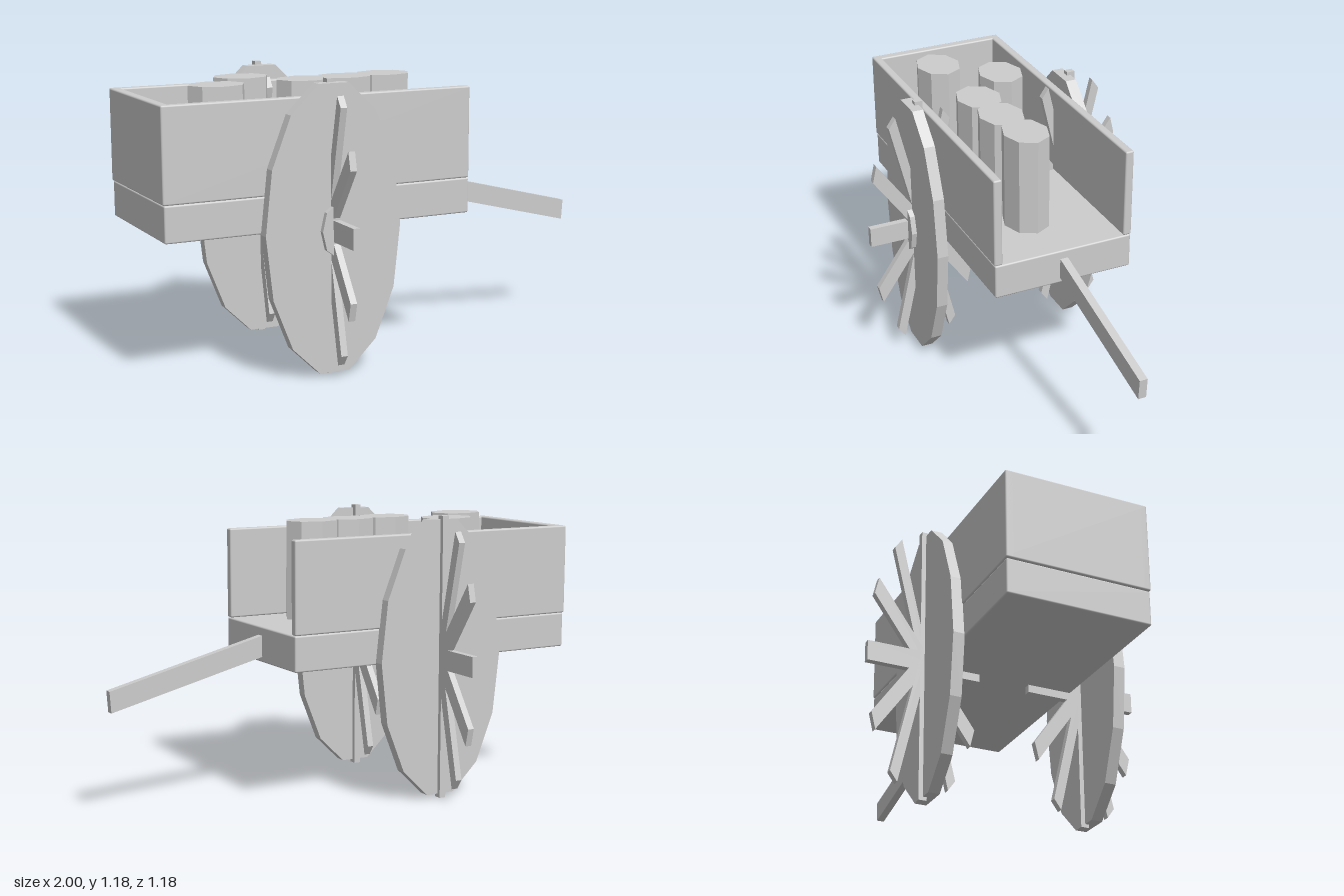
import * as THREE from 'three';
import { RoundedBoxGeometry } from 'three/addons/geometries/RoundedBoxGeometry.js';

export function createModel() {
  const cart = new THREE.Group();
  cart.name = 'cart';
  const grey = new THREE.MeshStandardMaterial({ color: 0xcccccc });
  grey.name = 'plain grey';

  function add(parent, name, geometry, x = 0, y = 0, z = 0) {
    const mesh = new THREE.Mesh(geometry, grey);
    mesh.name = name;
    mesh.position.set(x, y, z);
    parent.add(mesh);
    return mesh;
  }

  // Box given by its limits, with slightly softened edges
  function plank(name, [x0, x1], [y0, y1], [z0, z1]) {
    const geometry = new RoundedBoxGeometry(x1 - x0, y1 - y0, z1 - z0, 2, 0.007);
    add(cart, name, geometry, (x0 + x1) / 2, (y0 + y1) / 2, (z0 + z1) / 2);
  }

  // Flat-sided elliptical prism with its axis along y
  function prism(sides, rx, rz, height, turn = 0) {
    return new THREE.CylinderGeometry(1, 1, height, sides, 1, false, turn)
      .scale(rx, 1, rz).toNonIndexed();
  }
  function faceted(geometry) {
    geometry.computeVertexNormals();
    return geometry;
  }

  // Bed and walls, open at the handle end
  plank('bed', [-0.995, 0.33], [0.58, 0.727], [-0.303, 0.303]);
  plank('frontWall', [-1, 0.33], [0.728, 1.107], [0.27, 0.306]);
  plank('backWall', [-1, 0.33], [0.728, 1.107], [-0.306, -0.27]);
  plank('endWall', [-1, -0.96], [0.728, 1.107], [-0.306, 0.306]);

  // Sloping handle
  const outline = new THREE.Shape([
    [0.32, 0.605], [0.994, 0.435], [1, 0.522], [0.32, 0.693],
  ].map(([x, y]) => new THREE.Vector2(x, y)));
  add(cart, 'handle', new THREE.ExtrudeGeometry(outline, { depth: 0.034, bevelEnabled: false }), 0, 0, -0.017);

  // Barrels standing on the bed
  const barrelGeometry = faceted(prism(8, 0.118, 0.095, 0.41));
  [[-0.51, -0.105], [-0.70, 0.107], [-0.315, 0.083], [-0.125, 0.067], [0.063, 0.045]]
    .forEach(([x, z]) => add(cart, 'barrel', barrelGeometry, x, 0.945, z));

  // Oval wheels, both facing the same way, with a crosswise fan of spokes
  const discGeometry = faceted(prism(14, 0.291, 0.59, 0.048, Math.PI / 14).rotateX(Math.PI / 2));
  const hubGeometry = faceted(prism(8, 0.06, 0.106, 0.05).rotateX(Math.PI / 2));
  for (const [name, z] of [['frontWheel', 0.35], ['backWheel', -0.35]]) {
    const wheel = new THREE.Group();
    wheel.name = name;
    wheel.position.set(-0.333, 0.59, z);
    cart.add(wheel);
    add(wheel, 'disc', discGeometry, 0, 0, 0.025);
    add(wheel, 'hub', hubGeometry, 0, 0, 0.046);
    for (let i = 0; i < 6; i++) {
      const spoke = new THREE.BoxGeometry(0.028, 1.18, 0.085)
        .rotateX(i * Math.PI / 6).scale(1, 1, 0.407);
      spoke.deleteAttribute('normal');
      add(wheel, 'spoke', faceted(spoke.toNonIndexed()));
    }
  }
  return cart;
}
